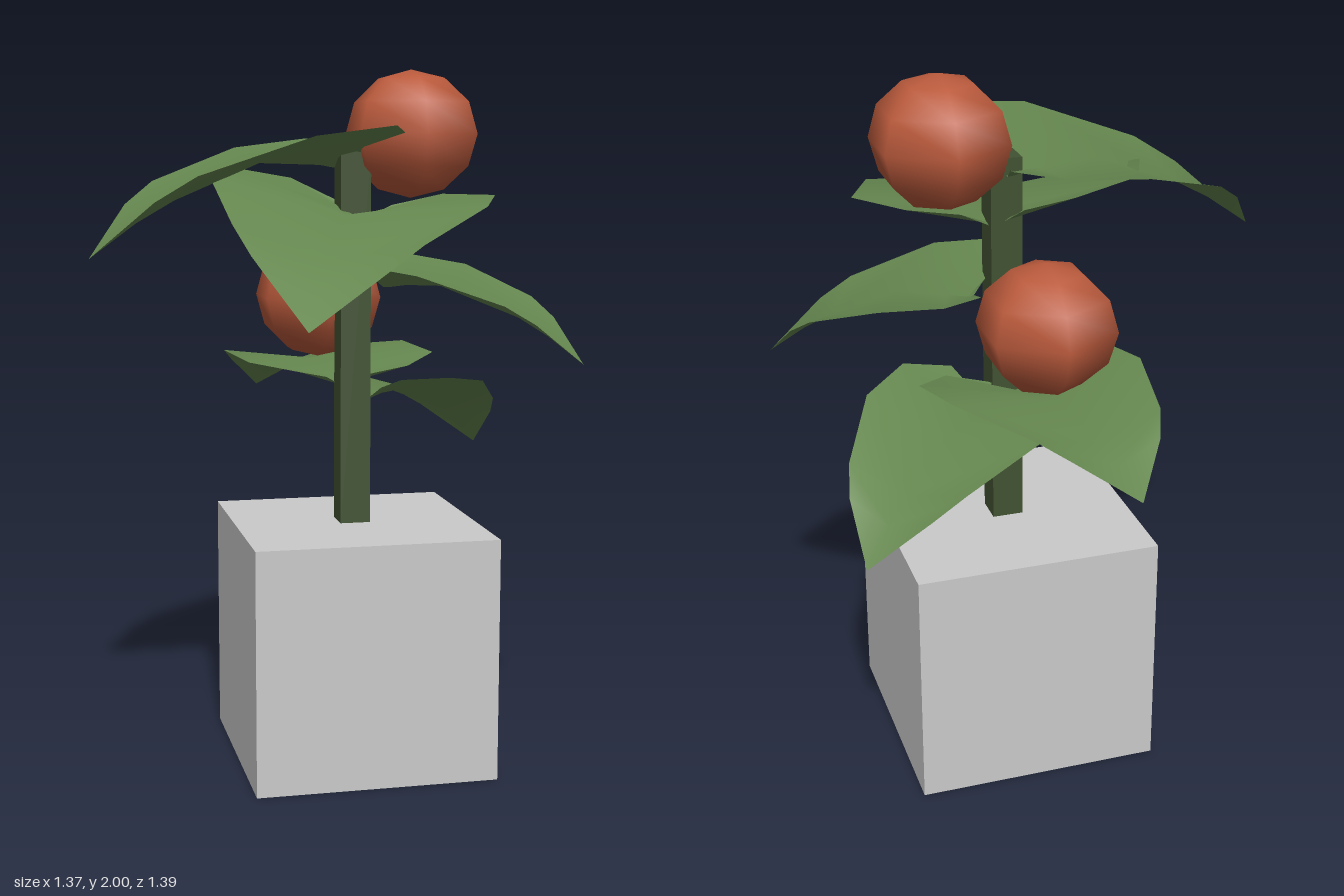
import * as THREE from 'three';

const mat = (name, color, extra = {}) => {
  const m = new THREE.MeshStandardMaterial({ color, ...extra });
  m.name = name;
  return m;
};

// Heart-shaped leaf, one half: [along, out, height] at the rim and [along, height] on the midrib
const RIM = [[-0.03, 0.08, 0.05], [-0.09, 0.21, 0.095], [0, 0.36, 0.105], [0.23, 0.36, 0.07],
  [0.52, 0.235, -0.04], [0.62, 0.165, -0.11]];
const RIB = [[0, 0], [0.02, 0], [0.09, 0.01], [0.27, 0.01], [0.52, -0.1], [0.63, -0.165]];
const TIP = [0.765, 0, -0.265];

// Leaf at (x, y, z), pointing along an angle measured from +x towards +z
function leafGeometry({ x, y, z, angle, size, pitch = 0, roll = 0 }) {
  const a = THREE.MathUtils.degToRad(angle), c = Math.cos(a), s = Math.sin(a);
  const pos = [], index = [];
  const put = (u, v, h) => pos.push(
    x + size * (u * c - v * s),
    y + size * (h + pitch * u + roll * v),
    z + size * (u * s + v * c));

  // Rows of left rim, midrib, right rim
  RIM.forEach(([u, v, h], i) => {
    put(u, v, h);
    put(RIB[i][0], 0, RIB[i][1]);
    put(u, -v, h);
  });
  put(...TIP);

  const last = RIM.length - 1, tip = 3 * RIM.length;
  for (let i = 0; i < last; i++) {
    const l = 3 * i, m = l + 1, r = l + 2;
    index.push(m, l, m + 3, l, l + 3, m + 3);
    index.push(m, m + 3, r, r, m + 3, r + 3);
  }
  index.push(3 * last + 1, 3 * last, tip, 3 * last + 1, tip, 3 * last + 2);

  const g = new THREE.BufferGeometry();
  g.setAttribute('position', new THREE.Float32BufferAttribute(pos, 3));
  g.setIndex(index);
  g.computeVertexNormals();
  return g;
}

export function createModel() {
  const model = new THREE.Group();
  model.name = 'pottedPlant';
  const potGrey = mat('potGrey', 0xcacaca);
  const stemGreen = mat('stemGreen', 0x415232);
  const leafGreen = mat('leafGreen', 0x65874f, { side: THREE.DoubleSide });
  const fruitRed = mat('fruitRed', 0xba5a3c);

  const add = (name, geometry, material, x = 0, y = 0, z = 0) => {
    const m = new THREE.Mesh(geometry, material);
    m.name = name;
    m.position.set(x, y, z);
    model.add(m);
    return m;
  };

  // Pot and square stem
  add('pot', new THREE.BoxGeometry(0.695, 0.7, 0.695), potGrey, 0.072, 0.35, -0.043);
  add('stem', new THREE.BoxGeometry(0.088, 1.08, 0.088), stemGreen, 0.072, 1.23, -0.043);

  // Leaves, from the top down
  [
    { x: 0.07, y: 1.72, z: -0.09, angle: 171.4, size: 1, pitch: 0.03, roll: -0.04 },
    { x: 0.102, y: 1.575, z: -0.066, angle: 112, size: 1.07, pitch: 0.05, roll: 0.1 },
    { x: 0.173, y: 1.38, z: -0.081, angle: 30.3, size: 0.773 },
    { x: 0.054, y: 1.09, z: -0.083, angle: 256, size: 0.83, pitch: 0.24 },
    { x: 0.134, y: 1.05, z: -0.106, angle: -42, size: 0.79 },
  ].forEach((leaf, i) => add(`leaf${i + 1}`, leafGeometry(leaf), leafGreen));

  // Six-sided round fruits
  const fruit = new THREE.SphereGeometry(0.196, 6, 6);
  fruit.rotateY(Math.PI / 6).scale(1, 0.925, 1);
  add('upperFruit', fruit, fruitRed, 0.243, 1.82, -0.045);
  add('lowerFruit', fruit, fruitRed, 0.012, 1.345, -0.25);

  return model;
}
